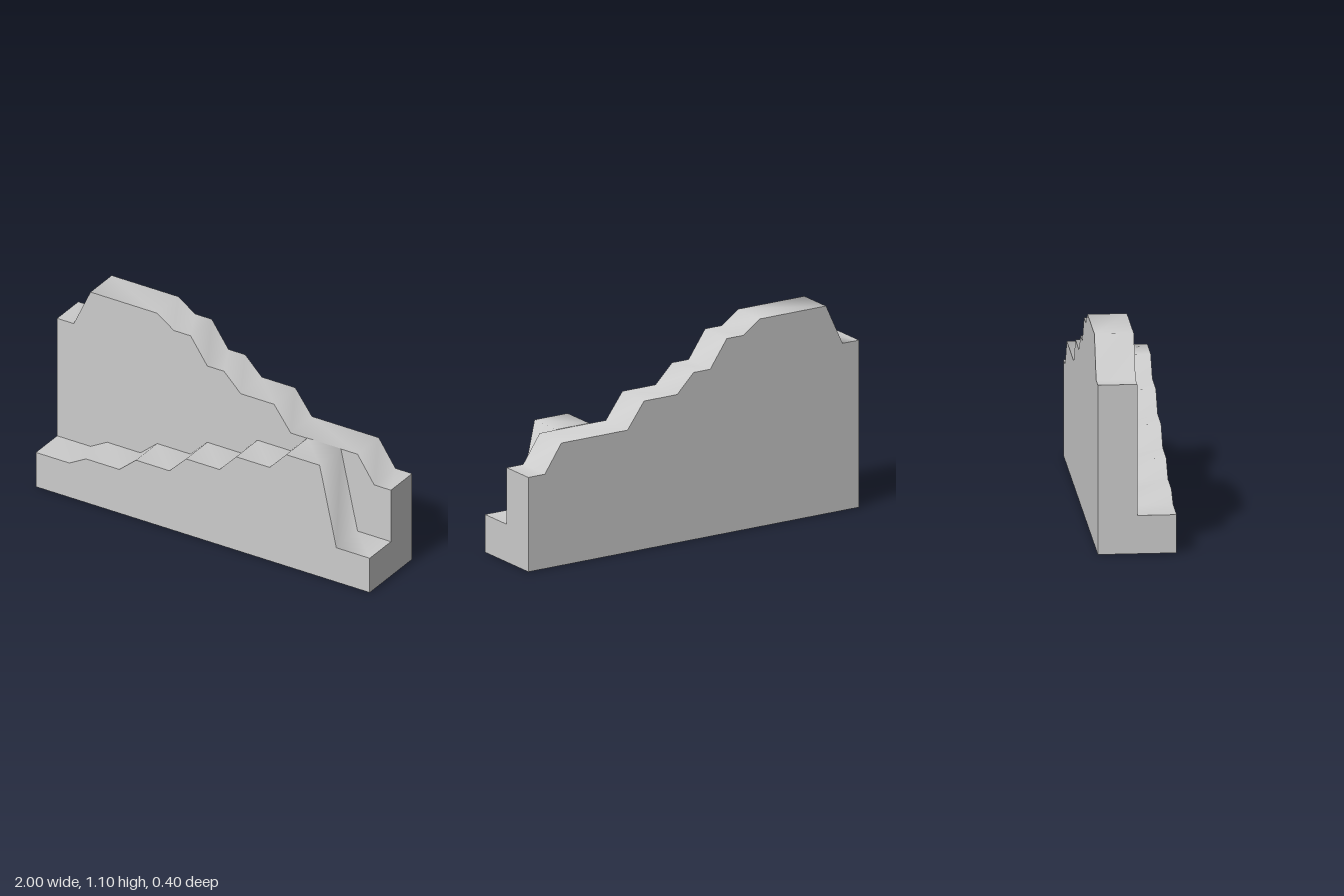
import * as THREE from 'three';
import { toCreasedNormals } from 'three/addons/utils/BufferGeometryUtils.js';

// Stepped skylines, left to right as [x, y]
const BACK = [
  [-1, 0.885], [-0.9, 0.885], [-0.8, 1.1], [-0.4, 1.1], [-0.3, 1.03], [-0.2, 1.03], [-0.1, 0.885],
  [0, 0.885], [0.1, 0.785], [0.3, 0.785], [0.4, 0.648], [0.8, 0.648], [0.9, 0.5], [1, 0.5],
];
const FRONT = [
  [-1, 0.2], [-0.8, 0.2], [-0.7, 0.255], [-0.5, 0.255], [-0.4, 0.34], [-0.2, 0.34], [-0.1, 0.44],
  [0.1, 0.44], [0.2, 0.545], [0.4, 0.545], [0.5, 0.65], [0.7, 0.65], [0.8, 0.2], [1, 0.2],
];

// Slab under a skyline, rounded shading along the top and sharp outer edges
function slab(name, skyline, z, depth, material) {
  const outline = [[-1, 0], [1, 0], ...[...skyline].reverse()];
  const shape = new THREE.Shape(outline.map(([x, y]) => new THREE.Vector2(x, y)));
  const geometry = new THREE.ExtrudeGeometry(shape, { depth, bevelEnabled: false });
  geometry.translate(0, 0, z);
  const mesh = new THREE.Mesh(toCreasedNormals(geometry, THREE.MathUtils.degToRad(80)), material);
  mesh.name = name;
  return mesh;
}

export function createModel() {
  const group = new THREE.Group();
  group.name = 'steppedRidge';
  const material = new THREE.MeshStandardMaterial({ color: 0xcccccc });
  group.add(
    slab('backRidge', BACK, -0.2, 0.2, material),
    slab('frontRidge', FRONT, 0, 0.2, material),
  );
  return group;
}
